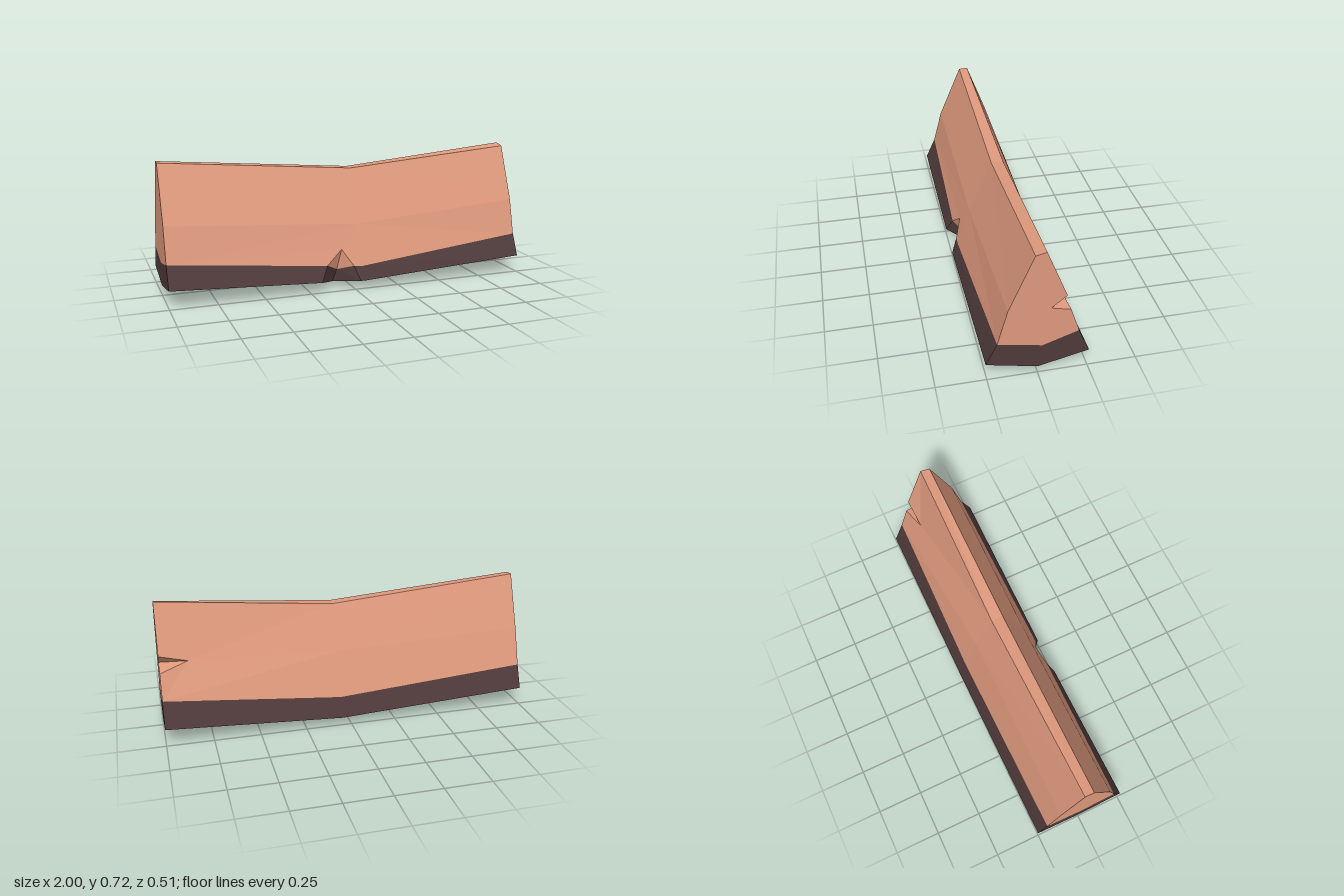
import * as THREE from 'three';

const P = (x, y, z) => new THREE.Vector3(x, y, z);

// Fills a counter-clockwise loop of points and appends its triangles
function fill(out, ...loop) {
  const n = P(0, 0, 0);
  loop.forEach((p, i) => n.add(P(0, 0, 0).crossVectors(p, loop[(i + 1) % loop.length])));
  const ax = Math.abs(n.x), ay = Math.abs(n.y), az = Math.abs(n.z);
  const flat = loop.map((p) => (ax > ay && ax > az ? new THREE.Vector2(p.y, p.z)
    : ay > az ? new THREE.Vector2(p.z, p.x) : new THREE.Vector2(p.x, p.y)));
  for (const [i, j, k] of THREE.ShapeUtils.triangulateShape(flat, [])) {
    const [a, b, c] = [loop[i], loop[j], loop[k]];
    const t = P(0, 0, 0).crossVectors(b.clone().sub(a), c.clone().sub(a));
    out.push(...(t.dot(n) >= 0 ? [a, b, c] : [a, c, b]));
  }
}

// Cross-section as [z, y] pairs: front bottom, keel, then up the back, over the ridge, down the front
const section = (x, pts) => pts.map(([z, y]) => P(x, y, z));

export function createModel() {
  const tan = new THREE.MeshStandardMaterial({ color: 0xde997d });
  tan.name = 'terracotta';
  const dark = new THREE.MeshStandardMaterial({ color: 0x4f3a3a });
  dark.name = 'dark brown';

  const a = section(-1, [[0.255, 0.1], [0, 0.055], [-0.255, 0.1], [-0.205, 0.225], [-0.14, 0.43],
    [-0.03, 0.715], [0.02, 0.712], [0.15, 0.41], [0.2, 0.22]]);
  const m = section(0.05, [[0.255, 0.045], [0, 0], [-0.255, 0.045], [-0.212, 0.15], [-0.135, 0.39],
    [-0.035, 0.63], [0.03, 0.629], [0.155, 0.34], [0.225, 0.12]]);
  const b = section(1, [[0.255, 0.097], [0, 0.037], [-0.255, 0.097], [-0.198, 0.233], [-0.14, 0.41],
    [-0.025, 0.72], [0.028, 0.707], [0.15, 0.41], [0.2, 0.215]]);
  m[1].x = -0.05;

  const body = [], base = [], chip = [], chipBase = [], crack = [];
  const panel = (out, s, t, i) => fill(out, s[i], s[(i + 1) % 9], t[(i + 1) % 9], t[i]);

  // Chip in the lower front edge
  const apex = P(-0.06, 0.215, 0.193), deep = P(-0.1, 0.027, 0.15), inner = P(-0.08, 0.1, 0.17);
  const seamL = P(-0.15, 0.139, 0.22), seamR = P(0, 0.125, 0.224);
  const footL = P(-0.19, 0.058, 0.255), footR = P(0.03, 0.046, 0.255);
  fill(chip, apex, seamL, inner);
  fill(chip, apex, inner, seamR);
  fill(chipBase, seamL, footL, deep, inner);
  fill(chipBase, inner, deep, footR, seamR);

  // Wedge crack in the back corner of the left end
  const up = P(1, 0.457, -0.13), low = P(1, 0.37, -0.152), tip = P(0.85, 0.415, -0.12);
  const root = P(1, 0.395, -0.055);
  fill(crack, tip, up, root);
  fill(crack, low, tip, root);

  // Upper block sides, opened around the chip and the crack
  for (const i of [3, 4, 5, 6]) panel(body, a, m, i);
  for (const i of [5, 6, 7]) panel(body, m, b, i);
  fill(body, a[7], a[8], seamL, apex, seamR, m[8], m[7]);
  fill(body, m[3], m[4], tip, low, b[3]);
  fill(body, m[4], m[5], b[5], up, tip);

  // Base band and underside
  for (const i of [1, 2]) panel(base, a, m, i);
  for (const i of [0, 1, 2, 8]) panel(base, m, b, i);
  fill(base, a[8], a[0], footL, seamL);
  fill(base, seamR, footR, m[0], m[8]);
  fill(base, a[0], a[1], m[1], m[0], footR, deep, footL);

  // End caps with the band carried around
  const midA = P(-1, 0.18, 0), midB = P(1, 0.17, -0.02);
  fill(body, b[3], low, root, up, b[5], b[6], b[7], b[8], midB);
  fill(base, b[0], b[1], b[2], b[3], midB, b[8]);
  fill(body, midA, a[8], a[7], a[6], a[5], a[4], a[3]);
  fill(base, a[8], midA, a[3], a[2], a[1], a[0]);

  const group = new THREE.Group();
  group.name = 'chippedBlock';
  const add = (name, pts, material) => {
    const geometry = new THREE.BufferGeometry().setFromPoints(pts);
    geometry.computeVertexNormals();
    const mesh = new THREE.Mesh(geometry, material);
    mesh.name = name;
    group.add(mesh);
  };
  add('upperBlock', body, tan);
  add('baseBand', base, dark);
  add('frontChip', chip, tan);
  add('frontChipBase', chipBase, dark);
  add('endCrack', crack, tan);
  return group;
}
